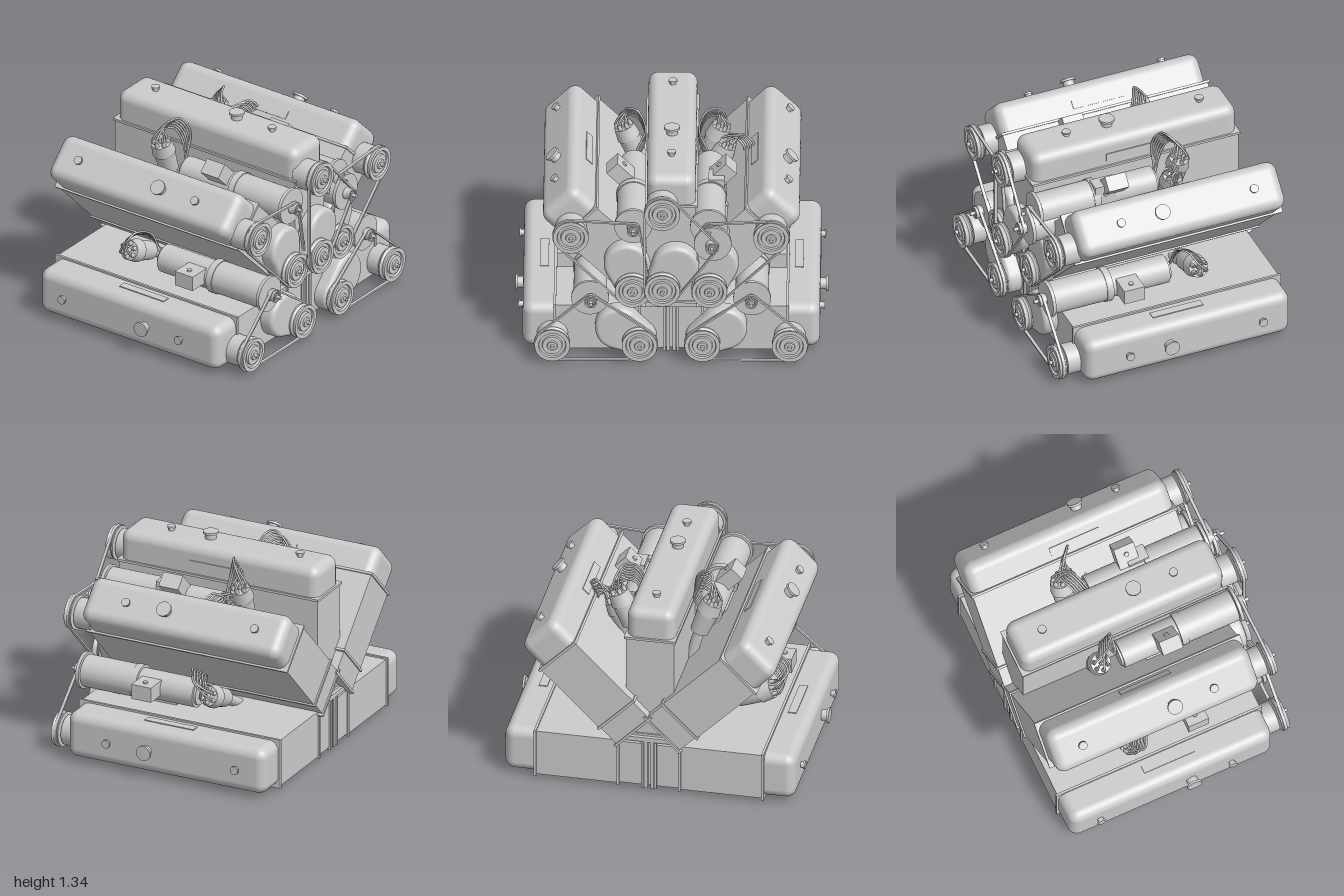
import * as THREE from 'three';
import { RoundedBoxGeometry } from 'three/addons/geometries/RoundedBoxGeometry.js';

const grey = new THREE.MeshStandardMaterial({ color: 0xcccccc });
const V = (x, y, z) => new THREE.Vector3(x, y, z);

function add(parent, name, geometry, x = 0, y = 0, z = 0) {
  const mesh = new THREE.Mesh(geometry, grey);
  mesh.name = name;
  mesh.position.set(x, y, z);
  parent.add(mesh);
  return mesh;
}

const box = (parent, name, w, h, d, x, y, z) =>
  add(parent, name, new THREE.BoxGeometry(w, h, d), x, y, z);

// Cylinder from point a to point b
function rod(parent, name, a, b, r0, r1 = r0, sides = 32) {
  const dir = b.clone().sub(a);
  const mid = a.clone().add(b).multiplyScalar(0.5);
  const m = add(parent, name, new THREE.CylinderGeometry(r1, r0, dir.length(), sides), mid.x, mid.y, mid.z);
  m.quaternion.setFromUnitVectors(V(0, 1, 0), dir.normalize());
  return m;
}

// Outline wrapped around circles [x, y, r] listed counter-clockwise
function wrap(circles, grow, path) {
  const n = circles.length;
  const normals = circles.map(([x, y, r], i) => {
    const [x2, y2, r2] = circles[(i + 1) % n];
    return Math.atan2(y2 - y, x2 - x) - Math.acos((r - r2) / Math.hypot(x2 - x, y2 - y));
  });
  circles.forEach(([x, y, r], i) =>
    path.absarc(x, y, r + grow, normals[(i + n - 1) % n], normals[i], false));
  path.closePath();
  return path;
}

// Grooved wheel with a stepped face, turned to face +z
function pulleyGeometry(r) {
  const profile = [[0, 0], [r, 0], [r, 0.008], [r * 0.9, 0.022], [r, 0.042], [r, 0.05],
    [r * 0.78, 0.05], [r * 0.74, 0.036], [r * 0.58, 0.036], [r * 0.55, 0.05], [r * 0.3, 0.05],
    [r * 0.27, 0.06], [r * 0.12, 0.06], [r * 0.11, 0.075], [0, 0.075]];
  // Doubled points keep the steps crisp
  const pts = profile.flatMap(([a, b]) => [new THREE.Vector2(a, b), new THREE.Vector2(a, b)]);
  const g = new THREE.LatheGeometry(pts, 40).toNonIndexed();
  g.computeVertexNormals();
  return g.rotateX(Math.PI / 2);
}

// One engine bank; cylinders point up +y, s = 1 or -1 mirrors it in x
function createBank(name, s) {
  const bank = new THREE.Group();
  bank.name = name;

  // Block, crankcase half and joint flanges
  box(bank, 'cylinderBlock', 0.314, 0.55, 1.42, 0, 0.265, -0.085);
  box(bank, 'crankcase', 0.3, 0.17, 1.42, 0, -0.08, -0.085);
  for (const y of [-0.157, 0, 0.54])
    box(bank, 'jointFlange', 0.335, 0.016, 1.44, 0, y, -0.085);

  // Rounded valve cover with its caps and side plate
  add(bank, 'valveCover', new RoundedBoxGeometry(0.31, 0.4, 1.415, 6, 0.065), 0, 0.545, -0.083);
  rod(bank, 'fillerNeck', V(0, 0.73, 0.05), V(0, 0.785, 0.05), 0.036);
  rod(bank, 'fillerCap', V(0, 0.78, 0.05), V(0, 0.795, 0.05), 0.05);
  for (const z of [0.33, -0.59]) {
    rod(bank, 'coverNutStem', V(0, 0.735, z), V(0, 0.77, z), 0.02);
    rod(bank, 'coverNut', V(0, 0.763, z), V(0, 0.775, z), 0.028);
  }
  box(bank, 'sidePlate', 0.01, 0.055, 0.35, s * 0.156, 0.61, -0.055);

  // Water pump housing between the two large pulleys
  const pumpCircles = [[s * -0.055, 0, 0.08], [s * 0.03, 0.135, 0.12]];
  const pump = new THREE.ExtrudeGeometry(wrap(pumpCircles, 0, new THREE.Shape()), {
    depth: 0.06, bevelThickness: 0.03, bevelSize: 0.028, bevelSegments: 4, curveSegments: 32 });
  add(bank, 'waterPump', pump, 0, 0, 0.63);

  // Pulleys, hubs and belt
  const wheels = [[s * -0.055, 0, 0.113], [s * 0.26, 0.31, 0.04], [s * -0.055, 0.555, 0.113]];
  for (const [x, y, r] of wheels) {
    add(bank, 'pulley', pulleyGeometry(r), x, y, 0.725);
    if (r > 0.1) rod(bank, 'pulleyHub', V(x, y, 0.6), V(x, y, 0.712), 0.1);
    rod(bank, 'pulleyShaft', V(x, y, 0.6), V(x, y, 0.805), 0.012);
  }
  const loop = s > 0 ? wheels : [...wheels].reverse();
  const belt = wrap(loop, 0.005, new THREE.Shape());
  belt.holes.push(wrap(loop, -0.006, new THREE.Path()));
  add(bank, 'belt', new THREE.ExtrudeGeometry(belt, { depth: 0.02, bevelEnabled: false, curveSegments: 32 }), 0, 0, 0.737);

  // Generator along the side of the block
  const gx = s * 0.265, gy = 0.315;
  const along = (part, z0, z1, r, r1) => rod(bank, part, V(gx, gy, z0), V(gx, gy, z1), r, r1, 40);
  along('generatorFan', 0.7, 0.722, 0.12);
  along('generatorFront', 0.33, 0.695, 0.106);
  along('generatorBand', 0.295, 0.34, 0.112);
  along('generatorRear', -0.1, 0.33, 0.093);
  along('generatorEnd', -0.115, -0.1, 0.075);
  box(bank, 'generatorCradle', 0.16, 0.1, 0.3, s * 0.19, 0.28, 0.2);
  box(bank, 'switchBox', 0.1, 0.15, 0.14, s * 0.285, 0.455, 0.2);
  rod(bank, 'switchButton', V(s * 0.335, 0.47, 0.2), V(s * 0.345, 0.47, 0.2), 0.016, 0.016, 16);

  // Distributor with six leads curling over to the generator end
  const base = V(s * 0.25, 0.27, -0.26), tip = V(s * 0.345, 0.49, -0.26);
  const dir = tip.clone().sub(base).normalize();
  const side = V(dir.y, -dir.x, 0);
  rod(bank, 'distributorShaft', V(s * 0.13, 0.06, -0.26), base, 0.035);
  rod(bank, 'distributorBody', base, base.clone().lerp(tip, 0.65), 0.06, 0.07);
  rod(bank, 'distributorCap', base.clone().lerp(tip, 0.65), tip, 0.076, 0.065);
  for (let i = 0; i < 7; i++) {
    const a = i * Math.PI / 3, r = i < 6 ? 0.045 : 0;
    const foot = tip.clone().addScaledVector(side, r * Math.cos(a)).add(V(0, 0, r * Math.sin(a)));
    const top = foot.clone().addScaledVector(dir, 0.035);
    rod(bank, 'leadSocket', foot, top, 0.015, 0.011, 12);
    if (i === 6) continue;
    const k = (i - 2.5) * 0.012;
    const path = new THREE.CatmullRomCurve3([foot, top,
      V(s * (0.44 + k), 0.56 + k, -0.235 + k), V(s * (0.49 + k), 0.51 + k, -0.2 + k),
      V(s * (0.45 + k), 0.4 + k, -0.16 + k), V(s * (0.3 + k), 0.33 + k, -0.12)]);
    add(bank, 'ignitionLead', new THREE.TubeGeometry(path, 28, 0.007, 6));
  }
  return bank;
}

export function createModel() {
  const model = new THREE.Group();
  model.name = 'multibankEngine';

  const place = (name, s, x, y, z, angle) => {
    const bank = createBank(name, s);
    bank.position.set(x, y, z);
    bank.rotation.z = angle;
    model.add(bank);
  };
  place('centreBank', 1, 0, 0.545, 0.03, 0);
  // s = 1 is the right side (-x), s = -1 its mirror
  for (const s of [1, -1]) {
    const label = s > 0 ? 'right' : 'left';
    place(label + 'DiagonalBank', s, -s * 0.206, 0.544, -0.03, s * Math.PI / 4);
    place(label + 'FlatBank', s, -s * 0.2, 0.183, 0, s * Math.PI / 2);
    box(model, 'sumpRidge', 0.03, 0.03, 0.43, s * 0.2, 0.015, -0.085);
    box(model, 'centrePost', 0.022, 0.34, 1.42, s * 0.02, 0.18, -0.085);
  }

  // Central gear case joining the five banks
  box(model, 'gearCase', 0.1, 0.33, 1.36, 0, 0.185, -0.085);
  box(model, 'gearCaseTop', 0.33, 0.03, 1.45, 0, 0.362, -0.07);
  box(model, 'sumpRail', 0.025, 0.03, 0.43, 0, 0.015, -0.085);
  return model;
}
